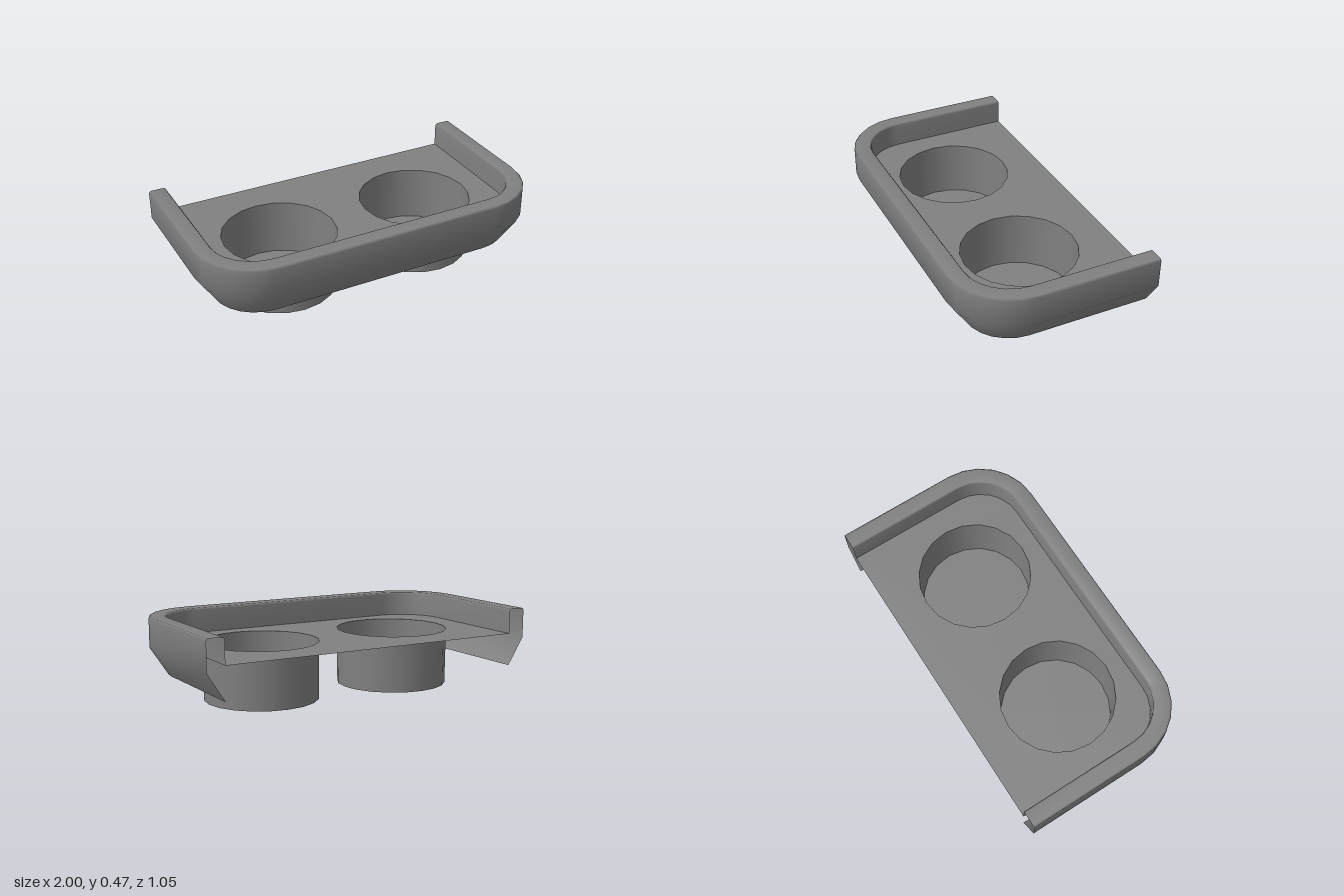
import * as THREE from 'three';

const CX = 0.65, CZ = 0.175;      // centre of the rounded corners
const BACK = -0.527, FLOOR = 0.325;
const CUP_X = 0.435, CUP_R = 0.325;

// Plan path around the open-backed tray: corner centre and outward angle
function trayPath(steps) {
  const path = [[CX, BACK, 0]];
  for (const side of [1, -1]) {
    for (let i = 0; i <= steps; i++) {
      const t = (i / steps) * Math.PI / 2;
      path.push([side * CX, CZ, side > 0 ? t : Math.PI / 2 + t]);
    }
  }
  path.push([-CX, BACK, Math.PI]);
  return path;
}

// Hollow rim: one skin going up the outside, over the top and down to the floor
function rimGeometry(path) {
  const profile = [
    [0.25, 0.14], [0.35, 0.295], [0.35, 0.457], [0.34, 0.468],
    [0.26, 0.468], [0.25, 0.457], [0.25, FLOOR],
  ];
  const n = profile.length, pos = [], index = [];
  path.forEach(([x, z, a], i) => {
    profile.forEach(([r, y], j) => {
      pos.push(x + r * Math.cos(a), y, z + r * Math.sin(a));
      if (i < path.length - 1 && j < n - 1) {
        const k = i * n + j;
        index.push(k, k + 1, k + n, k + 1, k + n + 1, k + n);
      }
    });
  });
  const g = new THREE.BufferGeometry();
  g.setAttribute('position', new THREE.Float32BufferAttribute(pos, 3));
  g.setIndex(index);
  g.computeVertexNormals();
  return g;
}

// Thin floor sheet with two round openings
function floorGeometry(path, segments) {
  const shape = new THREE.Shape(path.map(([x, z, a]) =>
    new THREE.Vector2(x + 0.25 * Math.cos(a), -(z + 0.25 * Math.sin(a)))));
  for (const s of [-1, 1]) {
    const pts = [];
    for (let i = 0; i < segments; i++) {
      const t = (i / segments) * Math.PI * 2;
      pts.push(new THREE.Vector2(s * CUP_X + CUP_R * Math.sin(t), CUP_R * Math.cos(t)));
    }
    shape.holes.push(new THREE.Path(pts));
  }
  return new THREE.ShapeGeometry(shape).rotateX(-Math.PI / 2).translate(0, FLOOR, 0);
}

export function createModel() {
  const group = new THREE.Group();
  group.name = 'twoCupTray';
  const gray = new THREE.MeshStandardMaterial({ color: 0x808080, side: THREE.DoubleSide });
  gray.name = 'gray';
  const add = (name, geometry) => {
    const mesh = new THREE.Mesh(geometry, gray);
    mesh.name = name;
    group.add(mesh);
    return mesh;
  };

  const path = trayPath(6), segments = 20;
  add('rim', rimGeometry(path));
  add('floor', floorGeometry(path, segments));

  // Recessed cups, open at the top
  for (const [name, s] of [['left', 1], ['right', -1]]) {
    add(name + 'CupWall',
      new THREE.CylinderGeometry(CUP_R, CUP_R - 0.003, FLOOR, segments, 1, true))
      .position.set(s * CUP_X, FLOOR / 2, 0);
    add(name + 'CupBottom',
      new THREE.CircleGeometry(CUP_R - 0.003, segments).rotateX(Math.PI / 2))
      .position.set(s * CUP_X, 0, 0);
  }
  return group;
}
